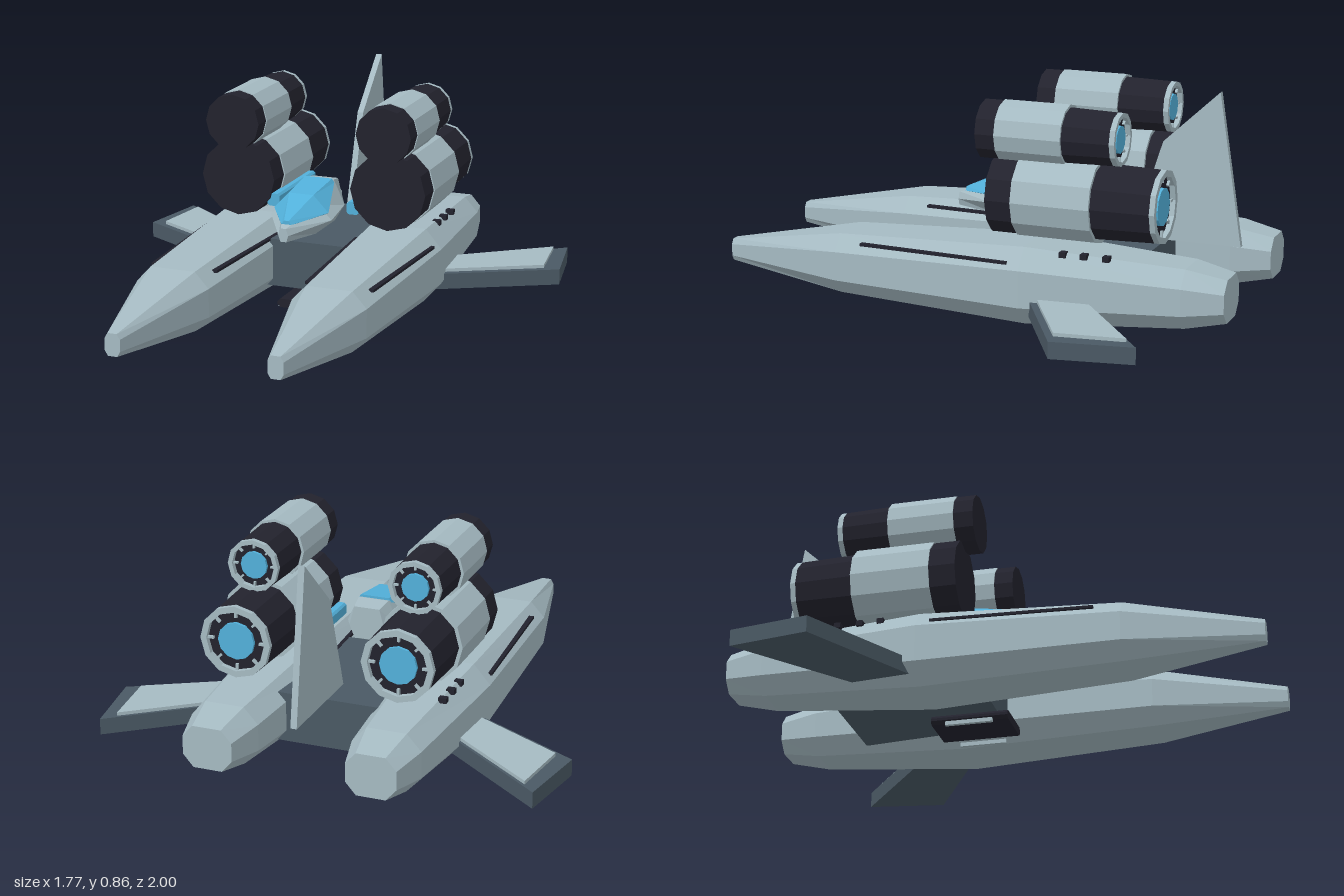
import * as THREE from 'three';

const paint = (name, color) => {
  const m = new THREE.MeshStandardMaterial({ color, flatShading: true });
  m.name = name;
  return m;
};

// Joins cross-sections (counter-clockwise from the front, listed back to front) and caps both ends
function loft(rings) {
  const pos = [];
  const tri = (...pts) => pts.forEach((p) => pos.push(...p));
  const n = rings[0].length;
  for (let i = 0; i < rings.length - 1; i++) {
    for (let j = 0; j < n; j++) {
      const k = (j + 1) % n;
      const [a, b, c, d] = [rings[i][j], rings[i][k], rings[i + 1][k], rings[i + 1][j]];
      tri(a, b, c);
      tri(a, c, d);
    }
  }
  const back = rings[0], front = rings[rings.length - 1];
  for (let j = 1; j < n - 1; j++) {
    tri(back[0], back[j + 1], back[j]);
    tri(front[0], front[j], front[j + 1]);
  }
  const g = new THREE.BufferGeometry();
  g.setAttribute('position', new THREE.Float32BufferAttribute(pos, 3));
  g.computeVertexNormals();
  return g;
}

// Octagonal section: half width w, from y0 to y1, with corner cuts cx, cy
const octagon = (z, w, y0, y1, cx, cy) => [
  [w, y0 + cy, z], [w, y1 - cy, z], [w - cx, y1, z], [-w + cx, y1, z],
  [-w, y1 - cy, z], [-w, y0 + cy, z], [-w + cx, y0, z], [w - cx, y0, z],
];

// Flat plate from [x, z] corners, rising from y0 to y1
function plate(points, y0, y1) {
  const shape = new THREE.Shape(points.map(([x, z]) => new THREE.Vector2(x, -z)));
  const g = new THREE.ExtrudeGeometry(shape, { depth: y1 - y0, bevelEnabled: false });
  return g.rotateX(-Math.PI / 2).translate(0, y0, 0);
}

// Twelve-sided drum along z
const drum = (zFront, zBack, rFront, rBack) =>
  new THREE.CylinderGeometry(rFront, rBack, zFront - zBack, 12)
    .rotateX(Math.PI / 2).translate(0, 0, (zFront + zBack) / 2);

export function createModel() {
  const light = paint('paleGrey', 0xa5bac2);
  const slate = paint('slate', 0x4a5964);
  const black = paint('nearBlack', 0x22222d);
  const blue = paint('blueGlass', 0x52b0da);

  const model = new THREE.Group();
  model.name = 'spacecraft';
  const add = (parent, name, geometry, material, x = 0, y = 0, z = 0) => {
    const mesh = new THREE.Mesh(geometry, material);
    mesh.name = name;
    mesh.position.set(x, y, z);
    parent.add(mesh);
    return mesh;
  };
  const box = (w, h, d) => new THREE.BoxGeometry(w, h, d);

  // Engine: intake, casing, exhaust and a spoked glowing nozzle
  function engine(name, x, y, r, [z0, z1, z2, z3]) {
    const g = new THREE.Group();
    g.name = name;
    g.position.set(x, y, 0);
    model.add(g);
    add(g, 'intake', drum(z0, z1, r * 0.97, r * 0.97), black);
    add(g, 'casing', drum(z1, z2, r, r), light);
    add(g, 'exhaust', drum(z2, z3, r * 0.91, r * 0.87), black);
    const rim = [[0.87, -0.02], [0.87, 0.01], [0.72, 0.01], [0.72, -0.02], [0.87, -0.02]];
    add(g, 'nozzleRim', new THREE.LatheGeometry(
      rim.map(([a, b]) => new THREE.Vector2(a * r, b)), 12).rotateX(Math.PI / 2), light, 0, 0, z3);
    add(g, 'nozzleGlow', drum(0, -0.012, r * 0.45, r * 0.45), blue, 0, 0, z3);
    for (let i = 0; i < 8; i++) {
      const a = (i * Math.PI) / 4;
      const spoke = add(g, 'nozzleSpoke', box(r * 0.17, r * 0.06, 0.01), light,
        Math.cos(a) * r * 0.65, Math.sin(a) * r * 0.65, z3 - 0.005);
      spoke.rotation.z = a;
    }
  }

  for (const s of [-1, 1]) {
    // Long faceted hull
    add(model, 'hull', loft([
      octagon(-1, 0.095, 0.1, 0.26, 0.04, 0.045),
      octagon(-0.85, 0.13, 0.07, 0.29, 0.055, 0.06),
      octagon(-0.25, 0.175, 0.03, 0.32, 0.065, 0.075),
      octagon(0.5, 0.145, 0.06, 0.29, 0.055, 0.06),
      octagon(1, 0.03, 0.115, 0.2, 0.012, 0.02),
    ]), light, s * 0.31);

    // Slots on the upper hull shoulders
    for (const t of [-1, 1]) {
      const slot = add(model, 'hullSlot', box(0.03, 0.01, 0.6), black,
        s * 0.31 + t * 0.134, 0.266, 0.1);
      slot.rotation.y = -t * 0.05;
    }
    // Vents on the outer top edge
    for (const z of [-0.4, -0.48, -0.565]) {
      add(model, 'hullVent', box(0.03, 0.02, 0.025), black, s * 0.415, 0.306, z);
    }

    // Swept wing with a raised panel
    const mirror = (pts) => pts.map(([x, z]) => [s * x, z]);
    add(model, 'wing', plate(mirror(
      [[0.4, -0.48], [0.835, -0.82], [0.885, -0.52], [0.4, -0.25]]), 0.07, 0.132), slate);
    add(model, 'wingPanel', plate(mirror(
      [[0.43, -0.49], [0.79, -0.77], [0.822, -0.515], [0.43, -0.295]]), 0.132, 0.145), light);

    // Stacked engines and the blue conduit beside them
    engine('mainEngine', s * 0.31, 0.49, 0.157, [-0.11, -0.21, -0.51, -0.73]);
    engine('upperEngine', s * 0.31, 0.722, 0.114, [-0.055, -0.13, -0.385, -0.565]);
    add(model, 'conduit', loft([-0.5, -0.12].map((z) =>
      octagon(z, 0.025, 0.385, 0.435, 0.008, 0.008))), blue, s * 0.165);

    // Landing rail
    add(model, 'landingRail', box(0.015, 0.015, 0.18), light, s * 0.11, 0.0075, -0.145);
  }

  // Centre deck joining the hulls
  add(model, 'deck', box(0.4, 0.19, 0.58), slate, 0, 0.175, -0.35);

  // Belly pad
  add(model, 'bellyPad', loft([-0.295, 0].map((z) =>
    octagon(z, 0.1, 0.016, 0.05, 0.012, 0.012))), black);

  // Tail fin
  const finShape = new THREE.Shape([[-0.52, 0.285], [-0.945, 0.285], [-0.855, 0.86], [-0.64, 0.66]]
    .map(([z, y]) => new THREE.Vector2(z, y)));
  add(model, 'tailFin', new THREE.ExtrudeGeometry(finShape, { depth: 0.024, bevelEnabled: false })
    .rotateY(-Math.PI / 2), light, 0.012);

  // Cockpit pod: hexagonal sections with widest line at ym
  const hex = (z, w, wt, wb, y0, ym, y1) => [
    [w, ym, z], [wt, y1, z], [-wt, y1, z], [-w, ym, z], [-wb, y0, z], [wb, y0, z],
  ];
  add(model, 'cockpitPod', loft([
    hex(-0.26, 0.07, 0.05, 0.05, 0.36, 0.41, 0.485),
    hex(-0.19, 0.105, 0.06, 0.065, 0.333, 0.4, 0.497),
    hex(0, 0.125, 0.07, 0.06, 0.33, 0.39, 0.445),
    hex(0.18, 0.02, 0.01, 0.012, 0.34, 0.365, 0.392),
  ]), light);

  // Canopy glass
  add(model, 'canopy', loft([
    hex(-0.18, 0.066, 0.056, 0.05, 0.44, 0.488, 0.503),
    hex(0, 0.112, 0.05, 0.06, 0.39, 0.418, 0.482),
    hex(0.15, 0.02, 0.009, 0.012, 0.38, 0.4, 0.415),
  ]), blue);

  return model;
}
